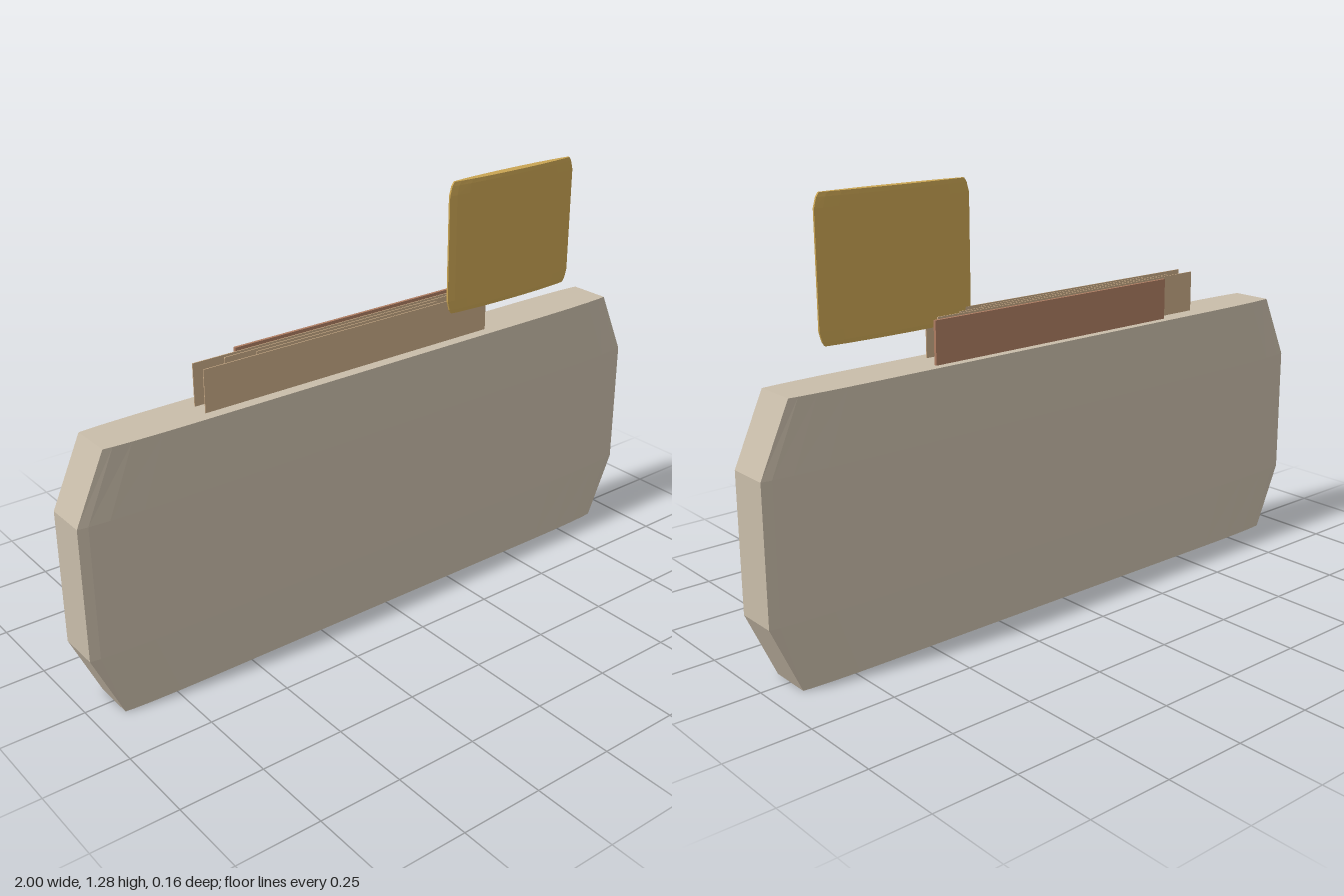
import * as THREE from 'three';

const material = (name, color) =>
  Object.assign(new THREE.MeshStandardMaterial({ color, flatShading: true }), { name });

// Pillow-like slab: one closed ring per height level, bulging to front and back.
// levels: [y, halfWidth, bulge]; profile: [fraction of half width, share of bulge]
function slabGeometry(levels, profile, edge) {
  const right = profile.filter(([f]) => f > 0);
  const row = [...right.map(([f, s]) => [-f, s]).reverse(), ...profile.filter(([f]) => f === 0), ...right];
  const n = row.length, ring = 2 * n;
  const positions = [], index = [];
  for (const [y, w, bulge] of levels) {
    for (const [f, s] of row) positions.push(f * w, y, edge + s * bulge);
    for (const [f, s] of [...row].reverse()) positions.push(f * w, y, -edge - s * bulge);
  }
  const quad = (a, b, c, d) => index.push(a, b, c, a, c, d);
  // walls
  for (let k = 0; k < levels.length - 1; k++) {
    for (let j = 0; j < ring; j++) {
      const a = k * ring + j, b = k * ring + (j + 1) % ring;
      quad(a, b, b + ring, a + ring);
    }
  }
  // bottom and top caps
  const top = (levels.length - 1) * ring;
  for (let i = 0; i < n - 1; i++) {
    const back = ring - 1 - i;
    quad(back, back - 1, i + 1, i);
    quad(top + i, top + i + 1, top + back - 1, top + back);
  }
  const g = new THREE.BufferGeometry();
  g.setAttribute('position', new THREE.Float32BufferAttribute(positions, 3));
  g.setIndex(index);
  const flat = g.toNonIndexed();
  flat.computeVertexNormals();
  return flat;
}

export function createModel() {
  const group = new THREE.Group();
  const stone = material('warm grey', 0xc9bdaa);
  const tan = material('tan', 0xc8aa86);
  const brown = material('brown', 0xae7d62);
  const gold = material('gold', 0xc9a453);

  const add = (name, geometry, mat, x = 0, y = 0, z = 0) => {
    const mesh = new THREE.Mesh(geometry, mat);
    mesh.name = name;
    mesh.position.set(x, y, z);
    group.add(mesh);
  };

  // body with chamfered corners
  add('body', slabGeometry(
    [[0, 0.91, 0.009], [0.2, 1, 0.014], [0.6, 1, 0.014], [0.8, 0.91, 0.009]],
    [[0, 1], [0.7, 1], [0.81, 0.92], [0.91, 0.65], [0.97, 0.32], [1, 0]], 0.064), stone);

  // thin sheets standing out of the top: [x from, x to, z]
  const sheets = [[-0.59, 0.41, 0.037], [-0.41, 0.23, 0.018], [-0.5, 0.32, 0], [-0.59, 0.41, -0.017]];
  sheets.forEach(([x0, x1, z], i) => add(`sheet${i + 1}`,
    new THREE.BoxGeometry(x1 - x0, 0.325, 0.003), tan, (x0 + x1) / 2, 0.7625, z));

  // thicker board behind the sheets
  add('backBoard', new THREE.BoxGeometry(0.88, 0.325, 0.009), brown, 0, 0.7625, -0.044);

  // lens-shaped tab floating above the sheets
  add('tab', slabGeometry(
    [[0.885, 0.232, 0.011], [0.897, 0.24, 0.012], [0.925, 0.248, 0.012],
      [1.245, 0.248, 0.012], [1.273, 0.24, 0.012], [1.285, 0.232, 0.011]],
    [[0, 1], [0.25, 0.97], [0.5, 0.82], [0.72, 0.58], [0.9, 0.27], [1, 0]], 0.003), gold, 0.5, 0, 0.041);

  return group;
}
